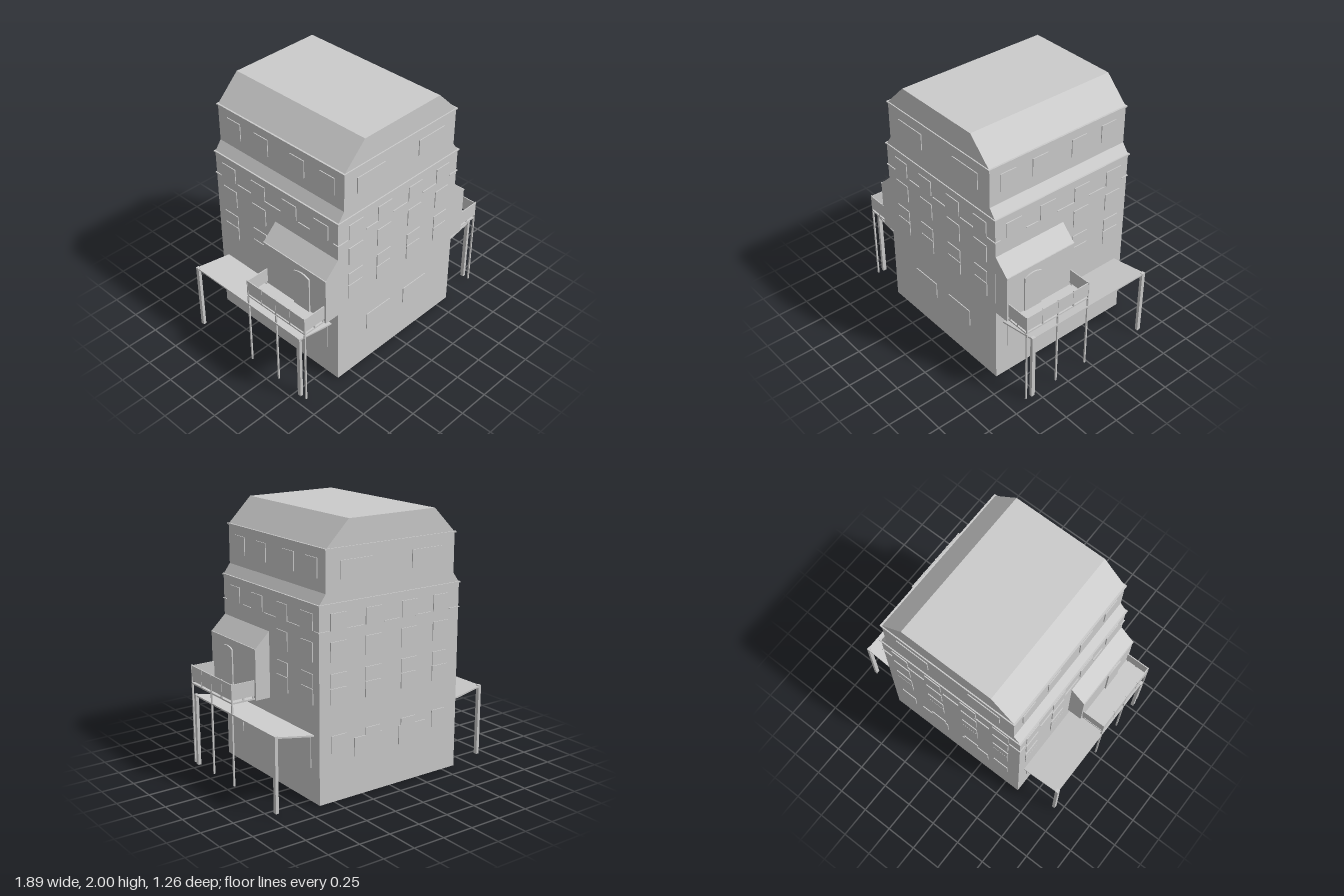
import * as THREE from 'three';

const mat = new THREE.MeshStandardMaterial({ color: 0xcccccc, flatShading: true, side: THREE.DoubleSide });

function add(parent, name, geometry) {
  const mesh = new THREE.Mesh(geometry, mat);
  mesh.name = name;
  parent.add(mesh);
  return mesh;
}

// Box given by its lower and upper bounds
function box(parent, name, x0, x1, y0, y1, z0, z1) {
  const g = new THREE.BoxGeometry(Math.abs(x1 - x0), y1 - y0, Math.abs(z1 - z0));
  g.translate((x0 + x1) / 2, (y0 + y1) / 2, (z0 + z1) / 2);
  return add(parent, name, g);
}

// Outline in x and y, extruded along z
function prism(points, z0, z1) {
  const shape = new THREE.Shape(points.map(([x, y]) => new THREE.Vector2(x, y)));
  const g = new THREE.ExtrudeGeometry(shape, { depth: z1 - z0, bevelEnabled: false });
  return g.translate(0, 0, z0);
}

// Drops the faces lying on the ground, leaving a hollow shell
function openBottom(g) {
  const p = g.attributes.position.array;
  const kept = [];
  for (let i = 0; i < p.length; i += 9) {
    if (Math.max(p[i + 1], p[i + 4], p[i + 7]) > 0.001) kept.push(...p.slice(i, i + 9));
  }
  const out = new THREE.BufferGeometry();
  out.setAttribute('position', new THREE.Float32BufferAttribute(kept, 3));
  out.computeVertexNormals();
  return out;
}

const W = 0.622; // half width of the block
const U = 0.566; // half width of the upper storey
const T = 0.007; // how far windows stand out

// Windows on the front or back wall (s = 1 or -1)
function endWindow(parent, s, x, y, w, h) {
  box(parent, 'window', x - w / 2, x + w / 2, y - h / 2, y + h / 2, s * (W - 0.004), s * (W + T));
}

// Windows on a side wall at distance d from the middle
function sideWindow(parent, s, d, z, y, w, h) {
  box(parent, 'window', s * (d - 0.004), s * (d + T), y - h / 2, y + h / 2, z - w / 2, z + w / 2);
}

export function createModel() {
  const root = new THREE.Group();
  root.name = 'house';

  // Main block with the stepped upper storey and sloped roof
  const half = [[W, 0], [W, 1.435], [U, 1.51], [U, 1.81], [0.375, 2]];
  const outline = [...half, ...half.map(([x, y]) => [-x, y]).reverse()];
  add(root, 'mainBlock', openBottom(prism(outline, -W, W)));

  // Cornices round the block, as thin strips on all four walls
  for (const [y, d] of [[1.435, W], [1.81, U]]) {
    for (const s of [1, -1]) {
      box(root, 'cornice', s * (d - 0.01), s * (d + 0.009), y - 0.005, y + 0.005, -W - 0.009, W + 0.009);
      box(root, 'cornice', -d, d, y - 0.005, y + 0.005, s * (W - 0.01), s * (W + 0.009));
    }
  }

  const xs = [-0.45, -0.16, 0.16, 0.46];
  const zs = [-0.48, -0.17, 0.15, 0.46];
  const endLedges = [[-0.63, -0.53], [-0.35, -0.21], [-0.07, 0.07], [0.245, 0.39], [0.54, 0.63]];
  const sideLedges = [[-0.63, -0.57], [-0.39, -0.24], [-0.1, 0.06], [0.24, 0.35], [0.58, 0.63]];

  for (const s of [1, -1]) {
    // Front and back windows
    const wall = new THREE.Group();
    wall.name = s > 0 ? 'frontWindows' : 'backWindows';
    root.add(wall);
    for (const x of xs) {
      endWindow(wall, s, x, 1.31, 0.14, 0.12);
      endWindow(wall, s, x, 1.1, 0.14, 0.14);
      endWindow(wall, s, x, 0.895, 0.14, 0.1);
      endWindow(wall, s, x, 0.78, 0.14, 0.115);
      if (s < 0) endWindow(wall, s, x, 0.43, 0.13, 0.13);
    }
    for (const x of [-0.31, 0.31]) endWindow(wall, s, x, 1.66, 0.27, 0.13);
    for (const x of [-0.2, 0.2]) endWindow(wall, s, x, 0.37, 0.25, 0.14);
    for (const [a, b] of endLedges) box(wall, 'ledge', a, b, 1.247, 1.253, s * W, s * (W + 0.008));

    // Side windows
    const side = new THREE.Group();
    side.name = s > 0 ? 'leftWindows' : 'rightWindows';
    root.add(side);
    for (const z of [-0.46, -0.178, 0.18, 0.465]) sideWindow(side, s, U, z, 1.67, 0.137, 0.14);
    for (const z of zs) {
      sideWindow(side, s, W, z, 1.31, 0.14, 0.12);
      if (z > 0) continue;
      sideWindow(side, s, W, z, 1.1, 0.14, 0.14);
      sideWindow(side, s, W, z, 0.895, 0.14, 0.1);
      sideWindow(side, s, W, z, 0.78, 0.14, 0.115);
    }
    for (const z of [-0.45, 0.45]) sideWindow(side, s, W, z, 0.37, 0.14, 0.24);
    for (const [a, b] of sideLedges) box(side, 'ledge', s * W, s * (W + 0.008), 1.247, 1.253, a, b);

    // Bay with a lean-to roof
    const bay = [[W, 0.625], [0.742, 0.625], [0.742, 1.01], [W, 1.125]].map(([x, y]) => [s * x, y]);
    add(root, 'bay', prism(bay, 0, W - 0.002));
    box(root, 'bayEave', s * 0.735, s * 0.748, 1.005, 1.012, 0, W);

    // Arched balcony door
    const door = new THREE.Shape();
    door.moveTo(-0.077, 0.64).lineTo(0.077, 0.64).lineTo(0.077, 0.935);
    door.quadraticCurveTo(0, 0.975, -0.077, 0.935);
    const doorGeo = new THREE.ExtrudeGeometry(door, { depth: 0.014, bevelEnabled: false, curveSegments: 8 });
    doorGeo.rotateY(s * Math.PI / 2).translate(s * 0.739, 0, 0.388);
    add(root, 'balconyDoor', doorGeo);

    // Balcony floor, solid railing panels and short uprights
    const balcony = new THREE.Group();
    balcony.name = 'balcony';
    root.add(balcony);
    box(balcony, 'floor', s * 0.742, s * 0.932, 0.628, 0.64, 0.018, 0.605);
    box(balcony, 'railPanel', s * 0.926, s * 0.934, 0.658, 0.775, 0.018, 0.605);
    for (const z of [0.018, 0.597]) box(balcony, 'railPanel', s * 0.742, s * 0.934, 0.658, 0.775, z, z + 0.008);
    for (const z of [0.022, 0.165, 0.312, 0.455, 0.6]) {
      box(balcony, 'upright', s * 0.924, s * 0.936, 0.64, 0.78, z - 0.005, z + 0.005);
    }
    for (const x of [0.75, 0.83]) {
      for (const z of [0.022, 0.601]) box(balcony, 'upright', s * x, s * (x + 0.01), 0.64, 0.66, z - 0.004, z + 0.004);
    }
    for (const z of [0.022, 0.312, 0.6]) {
      box(balcony, 'post', s * 0.924, s * 0.936, 0, 0.63, z - 0.006, z + 0.006);
    }

    // Canopy rising outward, on two posts
    const sheet = [[W, 0.492], [0.94, 0.55], [0.94, 0.562], [W, 0.505]].map(([x, y]) => [s * x, y]);
    add(root, 'canopy', prism(sheet, -0.555, 0.555));
    for (const z of [-0.543, 0.543]) {
      box(root, 'canopyPost', s * 0.92, s * 0.944, 0, 0.565, z - 0.015, z + 0.015);
    }
  }

  // Stairs inside the ground floor
  for (let i = 0; i < 6; i++) {
    const x = -0.6 + i * 0.045, y = 0.03 + i * 0.035;
    box(root, 'stairTread', x, x + 0.045, y, y + 0.02, -0.12, 0.32);
  }
  return root;
}
